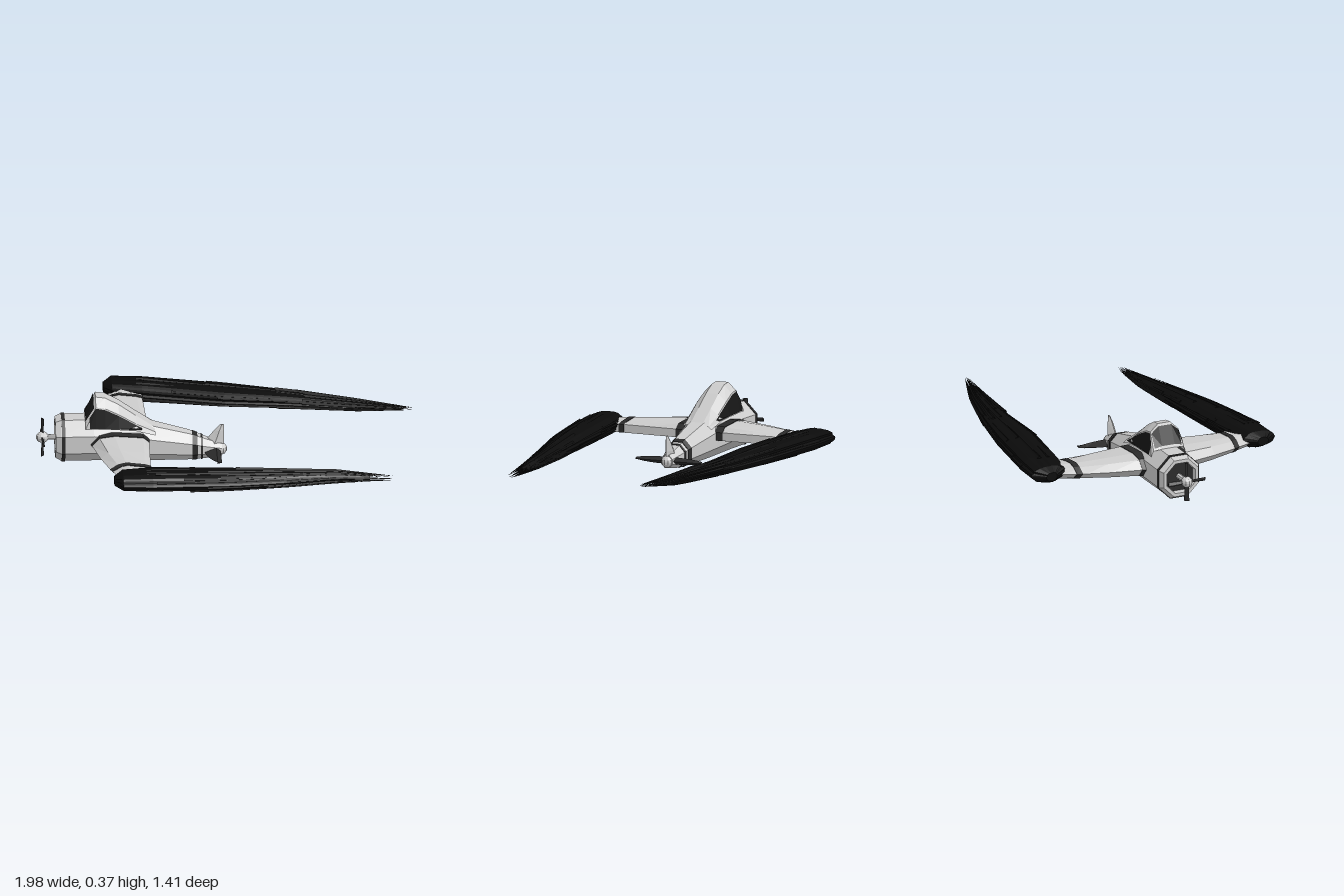
import * as THREE from 'three';
import { mergeGeometries } from 'three/addons/utils/BufferGeometryUtils.js';

const paint = (color, side = THREE.FrontSide) => new THREE.MeshStandardMaterial({ color, flatShading: true, side });
const GREY = paint(0xcccccc), DARK = paint(0x2a2a2a), GLASS = paint(0x161616, THREE.DoubleSide);
const SOOT = paint(0x0b0b0b), SHEET = paint(0xcccccc, THREE.DoubleSide);

// Skins rings of points; rings run counter-clockwise about the loft direction.
function loft(rings, closed = true) {
  const pos = [], n = rings[0].length;
  const tri = (...p) => p.forEach(v => pos.push(...v));
  for (let i = 0; i < rings.length - 1; i++) {
    for (let j = 0; j < (closed ? n : n - 1); j++) {
      const k = (j + 1) % n, [a, d, b, c] = [rings[i][j], rings[i][k], rings[i + 1][j], rings[i + 1][k]];
      tri(a, d, b);
      tri(d, c, b);
    }
  }
  if (closed) [rings[0], rings[rings.length - 1]].forEach((r, e) => {
    const m = [0, 1, 2].map(q => r.reduce((s, p) => s + p[q], 0) / n);
    r.forEach((p, j) => (e ? tri(m, p, r[(j + 1) % n]) : tri(m, r[(j + 1) % n], p)));
  });
  const g = new THREE.BufferGeometry();
  g.setAttribute('position', new THREE.Float32BufferAttribute(pos, 3));
  g.computeVertexNormals();
  return g;
}

// Linear interpolation in a table whose first column is the key.
function sample(table, x) {
  let i = 0;
  while (i < table.length - 2 && x > table[i + 1][0]) i++;
  const a = table[i], b = table[i + 1], t = THREE.MathUtils.clamp((x - a[0]) / (b[0] - a[0]), 0, 1);
  return a.map((v, q) => v + (b[q] - v) * t);
}

// Fuselage stations: x, bottom, top, half width
const BODY = [
  [-0.9, 0.03, 0.23, 0.1], [-0.87, 0.014, 0.243, 0.115], [-0.7, 0.013, 0.243, 0.113], [-0.42, 0.005, 0.205, 0.1],
  [-0.2, 0.0, 0.145, 0.07], [-0.1, 0.003, 0.105, 0.047], [-0.03, 0.012, 0.078, 0.032],
];
function octagon([x, lo, hi, w], grow = 0) {
  return Array.from({ length: 8 }, (_, k) => {
    const t = (k + 0.5) * Math.PI / 4, c = 1 / Math.cos(Math.PI / 8);
    return [x, (lo + hi) / 2 + ((hi - lo) / 2 + grow) * c * Math.cos(t), (w + grow) * c * Math.sin(t)];
  });
}

// Wing stations: z, leading x, trailing x, top, bottom
const WING = [
  [0.04, -0.725, -0.415, 0.187, 0.073], [0.14, -0.712, -0.415, 0.184, 0.075], [0.3, -0.677, -0.418, 0.175, 0.08],
  [0.42, -0.64, -0.422, 0.168, 0.084], [0.54, -0.595, -0.425, 0.162, 0.087],
];
function wingRing(z, side, grow = 0) {
  const [, le, te, top, bot] = sample(WING, z), mid = le + (te - le) * 0.4;
  return [
    [te + grow, 0.148], [te - 0.03, top - 0.012 + grow], [mid, top + grow], [le + 0.04, top - 0.01 + grow],
    [le - grow, 0.132], [le + 0.04, bot + 0.012 - grow], [mid, bot - grow], [te + grow, 0.105],
  ].map(([x, y]) => [x, y, z * side]);
}
const wingLoft = (zs, side, grow) => {
  const rings = zs.map(z => wingRing(z, side, grow));
  return loft(side > 0 ? rings : rings.reverse());
};

// Trail stations: x, inner z, outer z, centre y, half height
const TRAILS = {
  left: [
    [-0.62, 0.575, 0.64, 0.14, 0.025], [-0.575, 0.505, 0.7, 0.14, 0.047], [-0.42, 0.475, 0.7, 0.135, 0.054],
    [0, 0.455, 0.655, 0.115, 0.05], [0.3, 0.445, 0.595, 0.1, 0.043], [0.55, 0.435, 0.545, 0.09, 0.034], [0.84, 0.465, 0.5, 0.07, 0.014],
  ],
  right: [
    [-0.62, 0.58, 0.645, 0.14, 0.025], [-0.575, 0.51, 0.71, 0.14, 0.047], [-0.42, 0.475, 0.7, 0.135, 0.054],
    [0, 0.405, 0.635, 0.12, 0.05], [0.35, 0.39, 0.56, 0.108, 0.042], [0.7, 0.355, 0.46, 0.096, 0.032], [0.98, 0.33, 0.35, 0.1, 0.008],
  ],
};
function trail(table, side, seed) {
  const rand = () => (seed = (seed * 16807) % 2147483647) / 2147483647;
  const x0 = table[0][0], x1 = table[table.length - 1][0];
  const at = (x, a, r) => {
    const [, zi, zo, y, h] = sample(table, x);
    return [x, y + h * r * Math.cos(a), side * (zi + zo) / 2 + (zo - zi) / 2 * r * Math.sin(a)];
  };
  // ridged core
  const ridges = Array.from({ length: 32 }, () => 0.9 + 0.12 * rand());
  const xs = [...table.slice(0, 3).map(s => s[0])];
  for (let i = 1; i <= 12; i++) xs.push(-0.42 + (x1 - 0.12 + 0.42) * i / 12);
  const parts = [loft(xs.map(x => {
    const t = (x - x0) / (x1 - x0);
    return ridges.map((r, j) => at(x, j / 32 * Math.PI * 2, r * (1 - 0.6 * t ** 5)));
  }))];
  // frayed bristles ending at different lengths
  for (let i = 0; i < 110; i++) {
    const a = rand() * Math.PI * 2, r = 0.97 * Math.sqrt(0.35 + 0.65 * rand());
    const end = i === 0 ? x1 : x1 - (x1 + 0.2) * rand() ** 1.5, start = Math.max(-0.45, end - 0.55);
    parts.push(loft(Array.from({ length: 7 }, (_, k) => {
      const t = k / 6, c = at(start + (end - start) * t, a, r), w = 0.012 * (1 - t) + 0.0008;
      return [0, 1, 2, 3].map(q => [c[0], c[1] + 0.6 * w * Math.cos(q * Math.PI / 2), c[2] + w * Math.sin(q * Math.PI / 2)]);
    })));
  }
  return mergeGeometries(parts);
}

export function createModel() {
  const model = new THREE.Group();
  const add = (name, geometry, material = GREY, parent = model) => {
    const m = new THREE.Mesh(geometry, material);
    m.name = name;
    parent.add(m);
    return m;
  };

  // Fuselage with a hollow nose, and its dark bands
  add('fuselage', loft([[-0.83, 0.055, 0.205, 0.075], [-0.9, 0.048, 0.212, 0.082], ...BODY].map(s => octagon(s))));
  add('engineFace', new THREE.CylinderGeometry(0.07, 0.07, 0.02, 8).rotateZ(Math.PI / 2).translate(-0.835, 0.13, 0), DARK);
  for (const [a, b] of [[-0.868, -0.85], [-0.185, -0.158], [-0.14, -0.13]])
    add('fuselageBand', loft([a, b].map(x => octagon(sample(BODY, x), 0.003))), DARK);
  add('tailCone', new THREE.SphereGeometry(0.031, 10, 8).translate(-0.032, 0.045, 0));

  // Canopy: x, roof y, roof half width, shoulder y, shoulder half width, sill y
  const CANOPY = [
    [-0.745, 0.243, 0.04, 0.238, 0.085, 0.21, 0.1], [-0.69, 0.367, 0.035, 0.327, 0.078, 0.21, 0.1],
    [-0.64, 0.36, 0.035, 0.317, 0.078, 0.207, 0.1], [-0.57, 0.322, 0.035, 0.283, 0.08, 0.204, 0.099],
    [-0.48, 0.258, 0.035, 0.228, 0.078, 0.195, 0.096], [-0.38, 0.19, 0.035, 0.178, 0.07, 0.165, 0.088],
  ];
  add('canopyRoof', loft(CANOPY.map(([x, y, w, sy, sw]) => [[x, sy, -sw], [x, y, -w], [x, y, w], [x, sy, sw]]), false), SHEET);
  for (const s of [-1, 1]) {
    const strip = CANOPY.map(([x, , , sy, sw, by, bw]) => [[x, sy, s * sw], [x, by, s * bw]]);
    add('canopySide', loft(strip, false), SHEET);
    const pane = CANOPY.slice(0, 5).map(([x, , , sy, sw, by, bw], i) => {
      const px = i === 0 ? x + 0.022 : i === 4 ? x + 0.03 : x;
      const q = i === 0 ? 0.035 : i === 4 ? -0.022 : -0.006;
      return [[px, sy + q, s * (sw + 0.004)], [px, by + 0.006, s * (bw + 0.003)]];
    });
    add('sideWindow', loft(pane, false), GLASS);
  }
  // windscreen panes lie just above the sloping front of the canopy
  const screen = [0.1, 0.88].map(t => {
    const x = -0.745 + 0.055 * t - 0.004, roof = 0.243 + 0.124 * t + 0.004, sh = 0.238 + 0.089 * t + 0.004;
    return [[x, sh, -0.078], [x, roof, -0.036], [x, roof, 0.036], [x, sh, 0.078]];
  });
  add('windscreen', loft(screen, false), GLASS);

  // Wings, wing bands, trails and tailplanes on both sides
  for (const [side, label] of [[1, 'left'], [-1, 'right']]) {
    add(label + 'Wing', wingLoft(WING.map(s => s[0]), side, 0));
    add(label + 'WingRootBand', wingLoft([0.09, 0.135], side, 0.003), DARK);
    add(label + 'WingTipBand', wingLoft([0.44, 0.47], side, 0.003), DARK);
    add(label + 'Trail', trail(TRAILS[label], side, side > 0 ? 731 : 4057), SOOT);
    const plane = [[0, 1], [0.06, 0.95], [0.11, 0.8], [0.155, 0.52], [0.19, 0.12]].map(([z, k]) => {
      const le = -0.04 - 0.085 * k, h = 0.004 + 0.015 * k;
      return [[-0.037, 0.047], [-0.06, 0.047 + h], [le, 0.047], [-0.06, 0.047 - h]].map(([x, y]) => [x, y, z * side]);
    });
    add(label + 'Tailplane', loft(side > 0 ? plane : plane.reverse()), DARK);
  }

  // Tail fin
  add('tailFin', loft([[0.06, -0.15, 0.028], [0.1, -0.11, 0.024], [0.15, -0.07, 0.015], [0.182, -0.04, 0.004]].map(([y, front, w]) => {
    const mid = front * 0.45 - 0.012;
    return [[mid, y, w], [-0.018, y, 0], [mid, y, -w], [front, y, 0]];
  })));

  // Propeller with four pitched blades
  const propeller = new THREE.Group();
  propeller.name = 'propeller';
  propeller.position.set(-0.965, 0.13, 0);
  model.add(propeller);
  add('spinner', new THREE.SphereGeometry(0.03, 10, 8).scale(1.15, 1, 1), GREY, propeller);
  add('shaft', new THREE.CylinderGeometry(0.015, 0.015, 0.15, 8).rotateZ(Math.PI / 2).translate(0.075, 0, 0), GREY, propeller);
  for (let i = 0; i < 4; i++) {
    const blade = new THREE.CylinderGeometry(0.012, 0.009, 0.09, 6).scale(0.45, 1, 1.15);
    blade.rotateY(0.5).translate(0, 0.06, 0).rotateX(i * Math.PI / 2);
    add('propellerBlade', blade, DARK, propeller);
  }
  return model;
}
